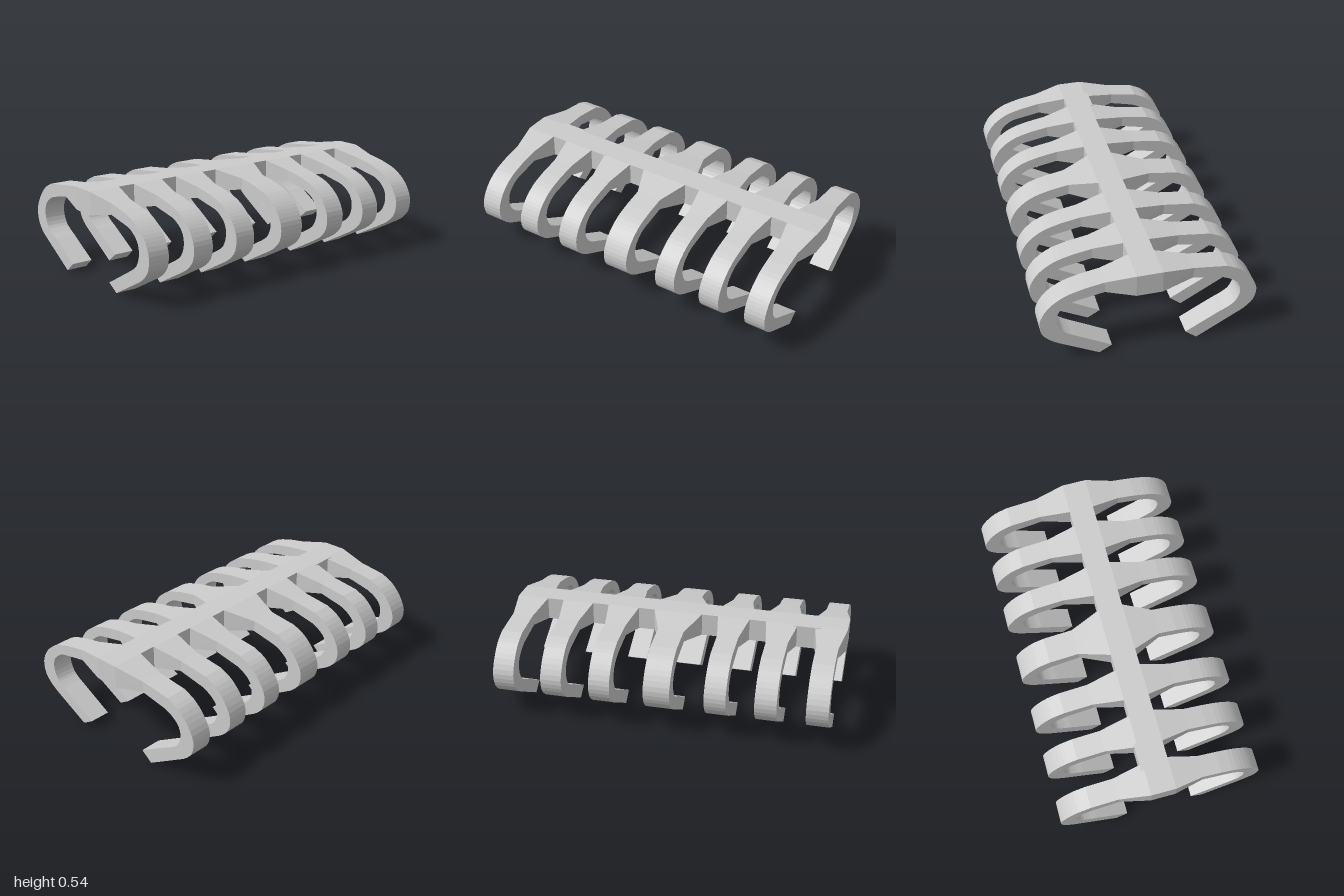
import * as THREE from 'three';

const material = new THREE.MeshStandardMaterial({ color: 0xcccccc, flatShading: true });

// Rib stations from spine to tip: [outer z, outer y, inner z, inner y]
const FRONT = [
  [0.085, 0.543, 0.085, 0.41], [0.25, 0.51, 0.25, 0.445], [0.36, 0.49, 0.345, 0.427],
  [0.458, 0.46, 0.425, 0.41], [0.53, 0.415, 0.47, 0.383], [0.575, 0.365, 0.503, 0.345],
  [0.605, 0.295, 0.513, 0.285], [0.594, 0.215, 0.487, 0.22], [0.55, 0.163, 0.448, 0.188],
  [0.505, 0.132, 0.41, 0.166], [0.28, 0.01, 0.21, 0.052],
];
const BACK = [
  [-0.06, 0.543, -0.06, 0.41], [-0.24, 0.51, -0.235, 0.445], [-0.425, 0.487, -0.405, 0.412],
  [-0.5, 0.45, -0.455, 0.388], [-0.567, 0.38, -0.5, 0.345], [-0.606, 0.295, -0.512, 0.285],
  [-0.592, 0.215, -0.487, 0.22], [-0.545, 0.163, -0.442, 0.186],
  [-0.5, 0.134, -0.4, 0.164], [-0.275, 0.0, -0.21, 0.054],
];

// Keep the straight root and tip, smooth the bend between them
function smoothStations(stations) {
  const bend = stations.slice(2, -1);
  const curve = (i) => new THREE.CatmullRomCurve3(bend.map((s) => new THREE.Vector3(0, s[i + 1], s[i])));
  const outer = curve(0), inner = curve(2), n = (bend.length - 1) * 3;
  const result = stations.slice(0, 2);
  for (let i = 0; i <= n; i++) {
    const o = outer.getPoint(i / n), p = inner.getPoint(i / n);
    result.push([o.z, o.y, p.z, p.y]);
  }
  result.push(stations[stations.length - 1]);
  return result;
}

// Loft a rectangular section along the stations, flared at the root
function ribGeometry(stations, x, half, rootHalf, side, shift) {
  const pos = [], index = [];
  stations.forEach(([oz, oy, iz, iy], i) => {
    const w = (i === 0 ? rootHalf : half) * side;
    const d = i < 2 ? 0 : shift;
    pos.push(x - w, oy, oz + d, x + w, oy, oz + d, x + w, iy, iz + d, x - w, iy, iz + d);
  });
  const last = (stations.length - 1) * 4;
  for (let a = 0; a < last; a += 4) {
    for (let j = 0; j < 4; j++) {
      const k = (j + 1) % 4, b = a + 4;
      index.push(a + j, b + j, b + k, a + j, b + k, a + k);
    }
  }
  index.push(last, last + 3, last + 2, last, last + 2, last + 1);
  const indexed = new THREE.BufferGeometry();
  indexed.setAttribute('position', new THREE.Float32BufferAttribute(pos, 3));
  indexed.setIndex(index);
  const geometry = indexed.toNonIndexed();
  geometry.computeVertexNormals();
  return geometry;
}

export function createModel() {
  const group = new THREE.Group();
  const add = (name, geometry) => {
    const mesh = new THREE.Mesh(geometry, material);
    mesh.name = name;
    group.add(mesh);
    return mesh;
  };

  // Central spine, slightly thicker between the first two ribs
  add('spine', new THREE.BoxGeometry(2, 0.133, 0.145)).position.set(0, 0.4765, 0.0125);
  add('spineThickening', new THREE.BoxGeometry(0.16, 0.133, 0.06)).position.set(-0.77, 0.4765, -0.048);

  // Seven rib pairs; the middle one is wider, the back row fans out slightly
  const front = smoothStations(FRONT), back = smoothStations(BACK);
  for (const x of [-0.906, -0.62, -0.335, 0, 0.335, 0.62, 0.906]) {
    const half = x === 0 ? 0.077 : 0.062;
    const rootHalf = x === 0 ? 0.144 : 0.094;
    const shift = 0.025 * (0.906 - x) / 1.812;
    add('frontRib', ribGeometry(front, x, half, rootHalf, 1, 0));
    add('backRib', ribGeometry(back, x, half, rootHalf, -1, shift));
  }
  return group;
}
